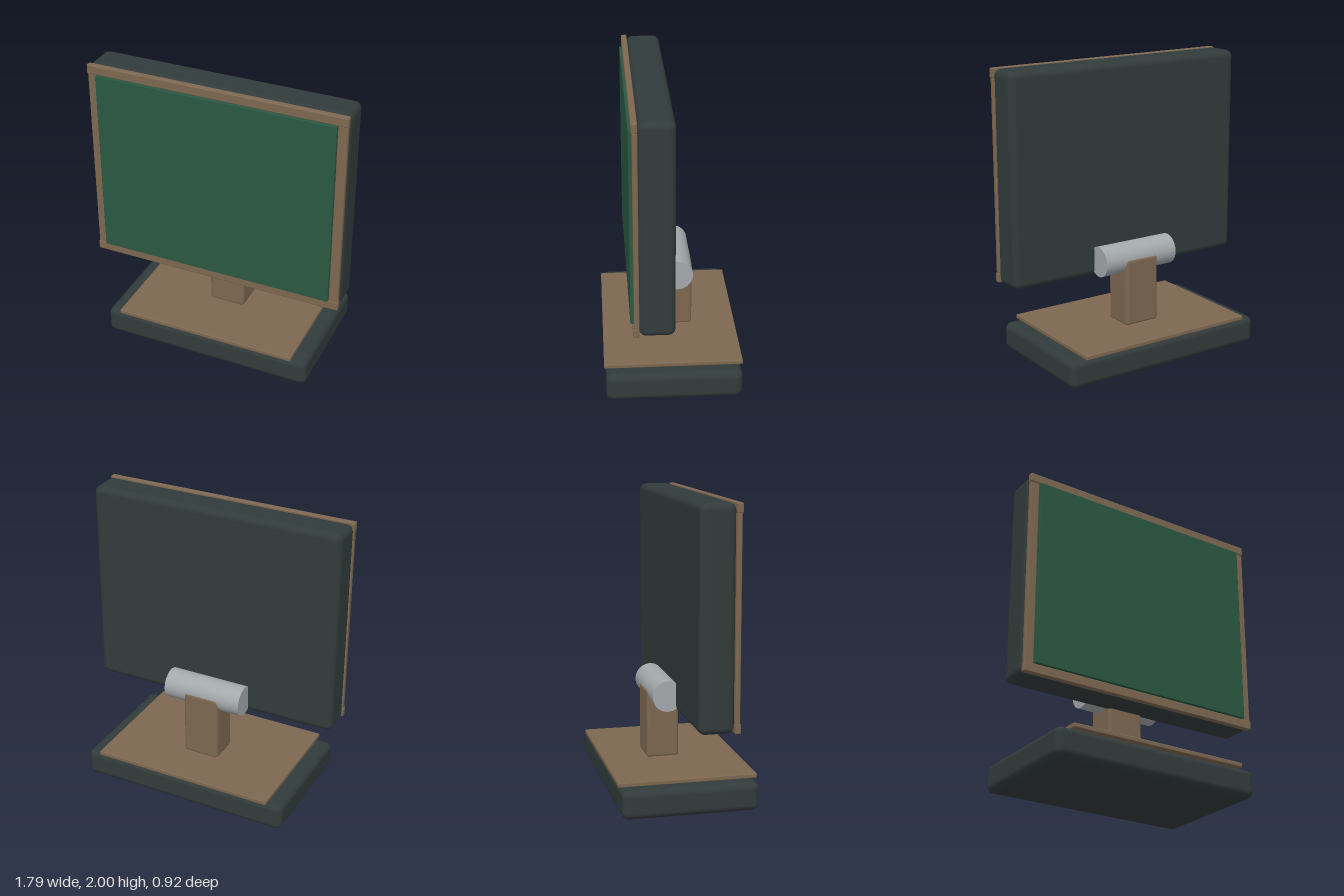
import * as THREE from 'three';
import { RoundedBoxGeometry } from 'three/addons/geometries/RoundedBoxGeometry.js';

const material = (name, color) => {
  const m = new THREE.MeshStandardMaterial({ color });
  m.name = name;
  return m;
};

export function createModel() {
  const charcoal = material('charcoal', 0x323b3b);
  const brown = material('brown', 0x7d6851);
  const green = material('green', 0x2a5842);
  const grey = material('lightGrey', 0xa4a9ac);

  const model = new THREE.Group();
  model.name = 'monitor';

  // Box given by its extents on each axis, with softened edges
  const block = (name, mat, [x0, x1], [y0, y1], [z0, z1], radius = 0.008) => {
    const geometry = new RoundedBoxGeometry(x1 - x0, y1 - y0, z1 - z0, 3, radius);
    const mesh = new THREE.Mesh(geometry, mat);
    mesh.name = name;
    mesh.position.set((x0 + x1) / 2, (y0 + y1) / 2, (z0 + z1) / 2);
    model.add(mesh);
  };

  // Stand
  block('base', charcoal, [-0.75, 0.75], [0, 0.19], [-0.45, 0.45], 0.045);
  block('basePlate', brown, [-0.645, 0.645], [0.188, 0.22], [-0.46, 0.46]);
  block('post', brown, [-0.13, 0.13], [0.21, 0.685], [-0.16, 0.06], 0.025);

  // Hinge barrel
  const hinge = new THREE.Mesh(new THREE.CylinderGeometry(0.104, 0.104, 0.565, 40), grey);
  hinge.name = 'hinge';
  hinge.rotation.z = Math.PI / 2;
  hinge.position.set(0, 0.674, -0.05);
  model.add(hinge);

  // Display housing and screen
  block('housing', charcoal, [-0.893, 0.893], [0.565, 2], [0.005, 0.235], 0.045);
  block('screen', green, [-0.826, 0.826], [0.63, 1.935], [0.225, 0.288], 0.004);

  // Frame around the screen
  for (const [name, y] of [['bottomRail', 0.565], ['topRail', 1.935]]) {
    block(name, brown, [-0.893, 0.893], [y, y + 0.065], [0.233, 0.273]);
  }
  for (const [name, x] of [['rightStile', -0.89], ['leftStile', 0.825]]) {
    block(name, brown, [x, x + 0.065], [0.625, 1.94], [0.233, 0.267]);
  }

  return model;
}
